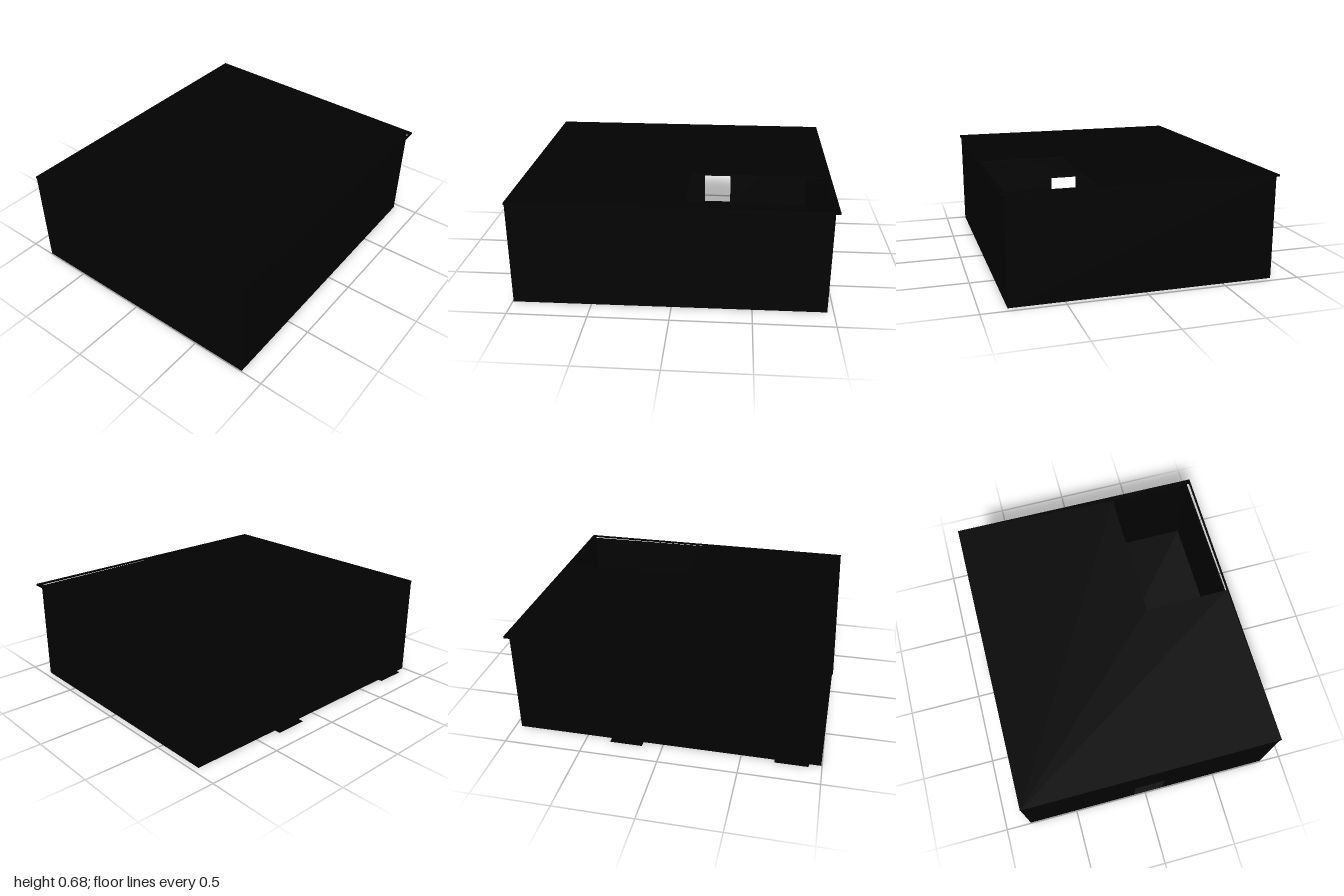
import * as THREE from 'three';

export function createModel() {
  const model = new THREE.Group();
  const black = new THREE.MeshStandardMaterial({ color: 0x020202, side: THREE.DoubleSide });
  black.name = 'black';

  const add = (name, geometry) => {
    const mesh = new THREE.Mesh(geometry, black);
    mesh.name = name;
    model.add(mesh);
    return mesh;
  };
  const outline = (points) => new THREE.Shape(points.map(([x, y]) => new THREE.Vector2(x, y)));

  // Slightly skewed footprint, as [x, z]
  const corners = [[-0.83, 0.995], [0.855, 0.995], [0.838, -0.96], [-0.83, -0.96]];
  const wallTop = 0.667, wallThickness = 0.008, doorHeight = 0.28, doorWidth = 0.21;

  // Wall from a to b, with open doorways starting at the given distances
  function wall(name, a, b, doors = []) {
    const dx = b[0] - a[0], dz = b[1] - a[1], length = Math.hypot(dx, dz);
    const points = [[0, 0]];
    for (const u of doors) {
      points.push([u, 0], [u, doorHeight], [u + doorWidth, doorHeight], [u + doorWidth, 0]);
    }
    points.push([length, 0], [length, wallTop], [0, wallTop]);
    const geometry = new THREE.ExtrudeGeometry(outline(points), { depth: wallThickness, bevelEnabled: false });
    geometry.translate(0, 0, -wallThickness);
    const mesh = add(name, geometry);
    mesh.position.set(a[0], 0, a[1]);
    mesh.rotation.y = -Math.atan2(dz, dx);
  }
  wall('frontWall', corners[0], corners[1], [0.75]);
  wall('leftWall', corners[1], corners[2]);
  wall('backWall', corners[2], corners[3]);
  wall('rightWall', corners[3], corners[0], [0.62, 1.67]);

  // Horizontal slab from an [x, z] outline
  function slab(name, points, y, thickness, hole) {
    const shape = outline(points.map(([x, z]) => [x, -z]));
    if (hole) shape.holes.push(new THREE.Path(hole.map(([x, z]) => new THREE.Vector2(x, -z))));
    const geometry = new THREE.ExtrudeGeometry(shape, { depth: thickness, bevelEnabled: false });
    geometry.rotateX(-Math.PI / 2);
    add(name, geometry).position.y = y;
  }
  slab('floor', corners, 0, 0.003);

  // Roof overhangs the back and left, with an opening over one corner
  slab('roof',
    [[-0.83, 1], [0.866, 0.997], [0.866, -0.985], [-0.83, -1]], 0.665, 0.012,
    [[0.285, -0.08], [0.285, -0.957], [0.855, -0.957], [0.855, -0.08]]);

  // Thresholds outside the side doorways
  for (const [z, edge] of [[-0.235, -0.87], [0.815, -0.857]]) {
    slab('threshold', [[edge, z + 0.105], [-0.82, z + 0.105], [-0.82, z - 0.105], [edge, z - 0.105]], 0, 0.002);
  }
  return model;
}
